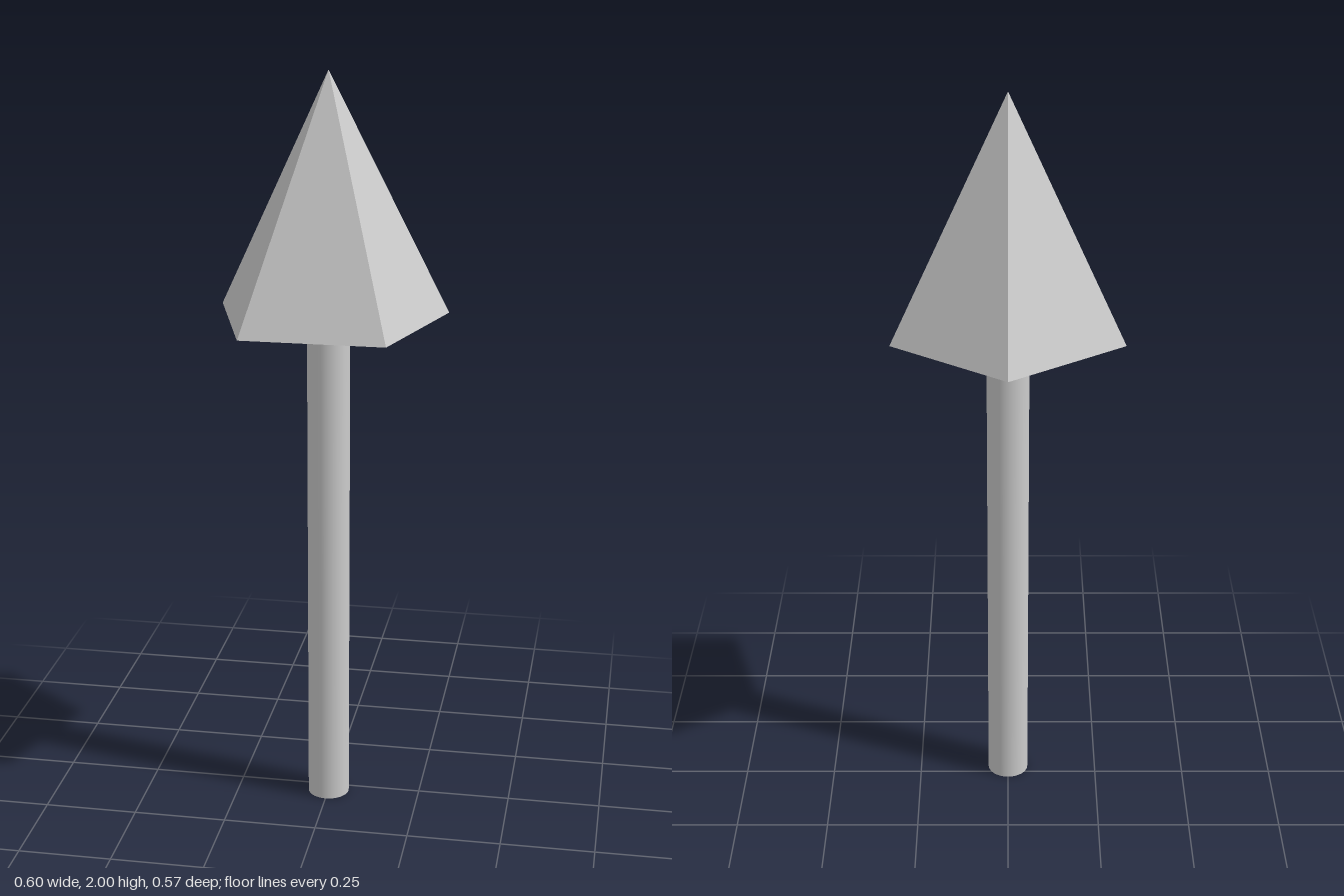
import * as THREE from 'three';

export function createModel() {
  const model = new THREE.Group();
  const headRadius = 0.317, headHeight = 0.634, shaftRadius = 0.056;
  const baseY = 2 - headHeight;
  const axisZ = 0.03; // centres the pentagon's depth on z = 0

  // Round shaft, smooth sides with flat caps
  const shaft = new THREE.Mesh(
    new THREE.CylinderGeometry(shaftRadius, shaftRadius, baseY, 32),
    new THREE.MeshStandardMaterial({ color: 0xcccccc })
  );
  shaft.name = 'shaft';
  shaft.position.set(0, baseY / 2, axisZ);

  // Five-sided pyramid head, one corner pointing back
  const head = new THREE.Mesh(
    new THREE.ConeGeometry(headRadius, headHeight, 5),
    new THREE.MeshStandardMaterial({ color: 0xcccccc, flatShading: true })
  );
  head.name = 'head';
  head.position.set(0, baseY + headHeight / 2, axisZ);
  head.rotation.y = Math.PI;

  model.add(shaft, head);
  return model;
}
